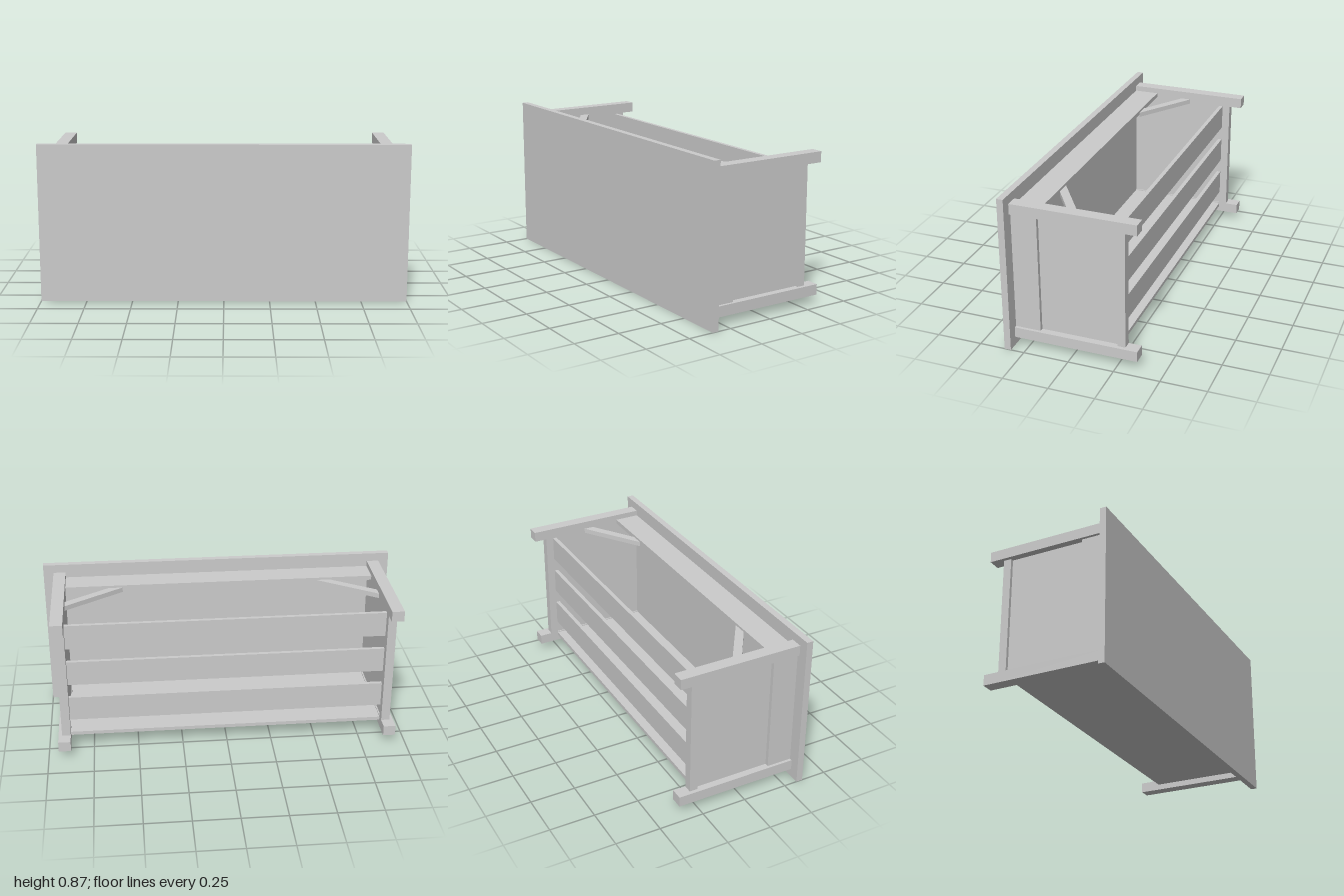
import * as THREE from 'three';

export function createModel() {
  const model = new THREE.Group();
  const material = new THREE.MeshStandardMaterial({ color: 0xcccccc, flatShading: true });

  // Box given by its extents on each axis
  function board(name, [x0, x1], [y0, y1], [z0, z1]) {
    const mesh = new THREE.Mesh(new THREE.BoxGeometry(x1 - x0, y1 - y0, z1 - z0), material);
    mesh.position.set((x0 + x1) / 2, (y0 + y1) / 2, (z0 + z1) / 2);
    mesh.name = name;
    model.add(mesh);
  }
  const span = (s, a, b) => (s > 0 ? [a, b] : [-b, -a]);

  // Table lying on its side: the top faces the front
  board('tableTop', [-1, 1], [0, 0.868], [0.324, 0.36]);

  // Long rail under the top, and closed panel on the lower side
  board('longApron', [-0.875, 0.875], [0.765, 0.79], [0.183, 0.324]);
  board('backPanel', [-0.875, 0.875], [0.08, 0.1], [-0.243, 0.324]);

  // Slatted shelf
  for (let i = 0; i < 3; i++) {
    const y = 0.18 + i * 0.22;
    board('shelfSlat', [-0.875, 0.875], [y, y + 0.14], [-0.243, -0.221]);
  }

  // Mirrored end frames: two legs, stretcher, apron and inset panel
  for (const s of [1, -1]) {
    for (const y of [0.047, 0.763]) {
      board('leg', span(s, 0.875, 0.943), [y, y + 0.058], [-0.358, 0.324]);
    }
    board('endStretcher', span(s, 0.875, 0.923), [0.105, 0.763], [-0.287, -0.243]);
    board('endApron', span(s, 0.883, 0.927), [0.105, 0.763], [0.183, 0.324]);
    board('endPanel', span(s, 0.883, 0.905), [0.105, 0.763], [-0.243, 0.183]);

    // Diagonal knee brace between leg and long apron
    const outline = [[0.875, -0.033], [0.875, 0.023], [0.633, 0.183], [0.553, 0.183]];
    const shape = new THREE.Shape(outline.map(([x, z]) => new THREE.Vector2(s * x, -z)));
    const geometry = new THREE.ExtrudeGeometry(shape, { depth: 0.027, bevelEnabled: false });
    geometry.rotateX(-Math.PI / 2);
    const brace = new THREE.Mesh(geometry, material);
    brace.position.y = 0.75;
    brace.name = 'kneeBrace';
    model.add(brace);
  }
  return model;
}
